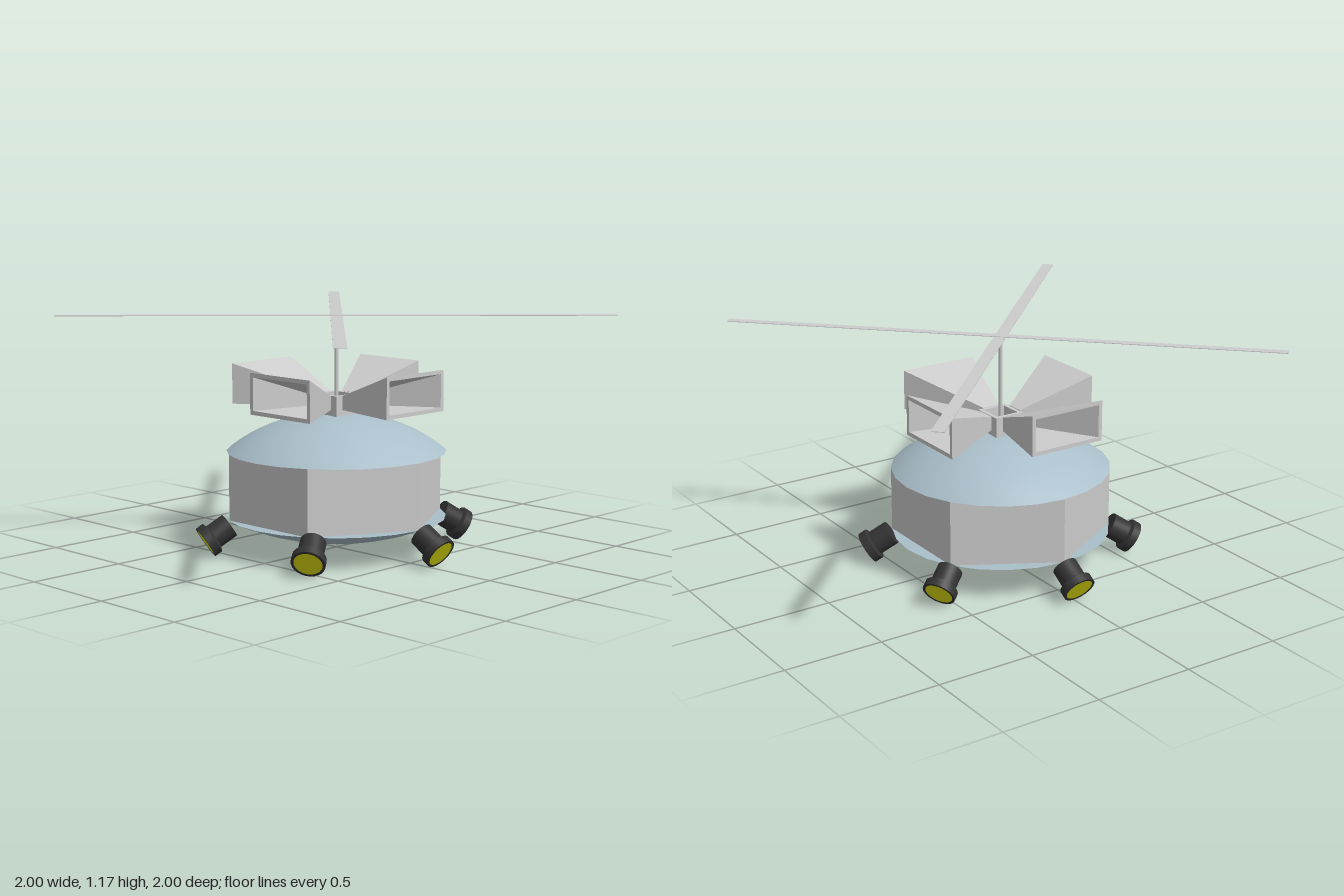
import * as THREE from 'three';
import { toCreasedNormals } from 'three/addons/utils/BufferGeometryUtils.js';

const rad = THREE.MathUtils.degToRad;
const grey = new THREE.MeshStandardMaterial({ color: 0xcccccc });
const greyFlat = new THREE.MeshStandardMaterial({ color: 0xcccccc, flatShading: true });
const blue = new THREE.MeshStandardMaterial({ color: 0xaabfca });
const dark = new THREE.MeshStandardMaterial({ color: 0x333333 });
const yellow = new THREE.MeshStandardMaterial({ color: 0xdddd11 });

function add(parent, name, geometry, material, x = 0, y = 0, z = 0) {
  const mesh = new THREE.Mesh(geometry, material);
  mesh.name = name;
  mesh.position.set(x, y, z);
  parent.add(mesh);
  return mesh;
}

function lathe(points, segments) {
  const profile = points.map(([r, y]) => new THREE.Vector2(r, y));
  return toCreasedNormals(new THREE.LatheGeometry(profile, segments), rad(35));
}

// Spherical cap profile from rim (y = 0) to apex (y = height), closed by a disc
function capProfile(radius, height, steps = 10) {
  const R = (radius * radius + height * height) / (2 * height);
  const rim = Math.asin(radius / R);
  const points = [[0, 0]];
  for (let i = 0; i <= steps; i++) {
    const a = rim * (1 - i / steps);
    points.push([R * Math.sin(a), R * Math.cos(a) - R + height]);
  }
  return points;
}

// Hollow flaring box: outer skin, front rim, inner skin, back rim
function hornGeometry() {
  const ring = (cx, hw, y0, y1, z) => [
    [cx - hw, y0, z], [cx + hw, y0, z], [cx + hw, y1, z], [cx - hw, y1, z],
  ];
  const rings = [
    ring(0, 0.045, 0.715, 0.785, 0.085),
    ring(0.073, 0.205, 0.715, 0.92, 0.463),
    ring(0.073, 0.185, 0.735, 0.9, 0.463),
    ring(0, 0.03, 0.735, 0.772, 0.085),
  ];
  const positions = [];
  for (let i = 0; i < 4; i++) {
    const a = rings[i], b = rings[(i + 1) % 4];
    for (let j = 0; j < 4; j++) {
      const k = (j + 1) % 4;
      positions.push(...a[j], ...a[k], ...b[k], ...a[j], ...b[k], ...b[j]);
    }
  }
  const geometry = new THREE.BufferGeometry();
  geometry.setAttribute('position', new THREE.Float32BufferAttribute(positions, 3));
  geometry.computeVertexNormals();
  return geometry;
}

export function createModel() {
  const model = new THREE.Group();
  model.name = 'hoveringDrone';

  // Hexagonal hull between a domed roof and a shallow bowl
  add(model, 'hexHull', new THREE.CylinderGeometry(0.55, 0.55, 0.33, 6, 1, false, Math.PI / 2),
    greyFlat, 0, 0.335, 0);
  add(model, 'domeRoof', lathe(capProfile(0.55, 0.19), 24), blue, 0, 0.5, 0);
  const bowl = add(model, 'bottomBowl', lathe(capProfile(0.55, 0.12), 24), blue, 0, 0.17, 0);
  bowl.rotation.x = Math.PI;

  // Square hub frame on the roof
  const hub = new THREE.Group();
  hub.name = 'hub';
  model.add(hub);
  for (let i = 0; i < 4; i++) {
    const side = new THREE.Group();
    side.rotation.y = i * Math.PI / 2;
    add(side, 'hubWall', new THREE.BoxGeometry(0.16, 0.11, 0.02), grey, 0, 0.73, 0.07);
    hub.add(side);
  }

  // Four skewed horns around the hub
  const horn = hornGeometry();
  for (let i = 0; i < 4; i++) {
    add(model, 'horn', horn, greyFlat).rotation.y = i * Math.PI / 2;
  }

  // Mast and two crossed rotor blades
  add(model, 'mast', new THREE.CylinderGeometry(0.01, 0.01, 0.5, 12), grey, 0, 0.925, 0);
  [[-45, 0.06, 1.173], [45, 0.045, 1.175]].forEach(([angle, width, y]) => {
    const length = 2 * (Math.SQRT2 - width / 2);
    const blade = add(model, 'rotorBlade', new THREE.BoxGeometry(length, 0.003, width), grey, 0, y, 0);
    blade.rotation.y = rad(angle);
  });

  // Six lamps at the hull corners, pointing outward and down
  const housing = lathe([[0, 0], [0.063, 0], [0.063, 0.095], [0.083, 0.105],
    [0.083, 0.145], [0.07, 0.145], [0.07, 0.138], [0, 0.138]], 24);
  const lens = new THREE.CylinderGeometry(0.07, 0.07, 0.006, 24);
  for (const angle of [2, 61, 120, 180, 242, 303]) {
    const arm = new THREE.Group();
    arm.name = 'lampMount';
    arm.rotation.y = rad(angle);
    const lamp = new THREE.Group();
    lamp.name = 'lamp';
    lamp.position.set(0.555, 0.151, 0);
    lamp.rotation.z = -rad(123);
    add(lamp, 'lampHousing', housing, dark);
    add(lamp, 'lampLens', lens, yellow, 0, 0.141, 0);
    arm.add(lamp);
    model.add(arm);
  }
  return model;
}
